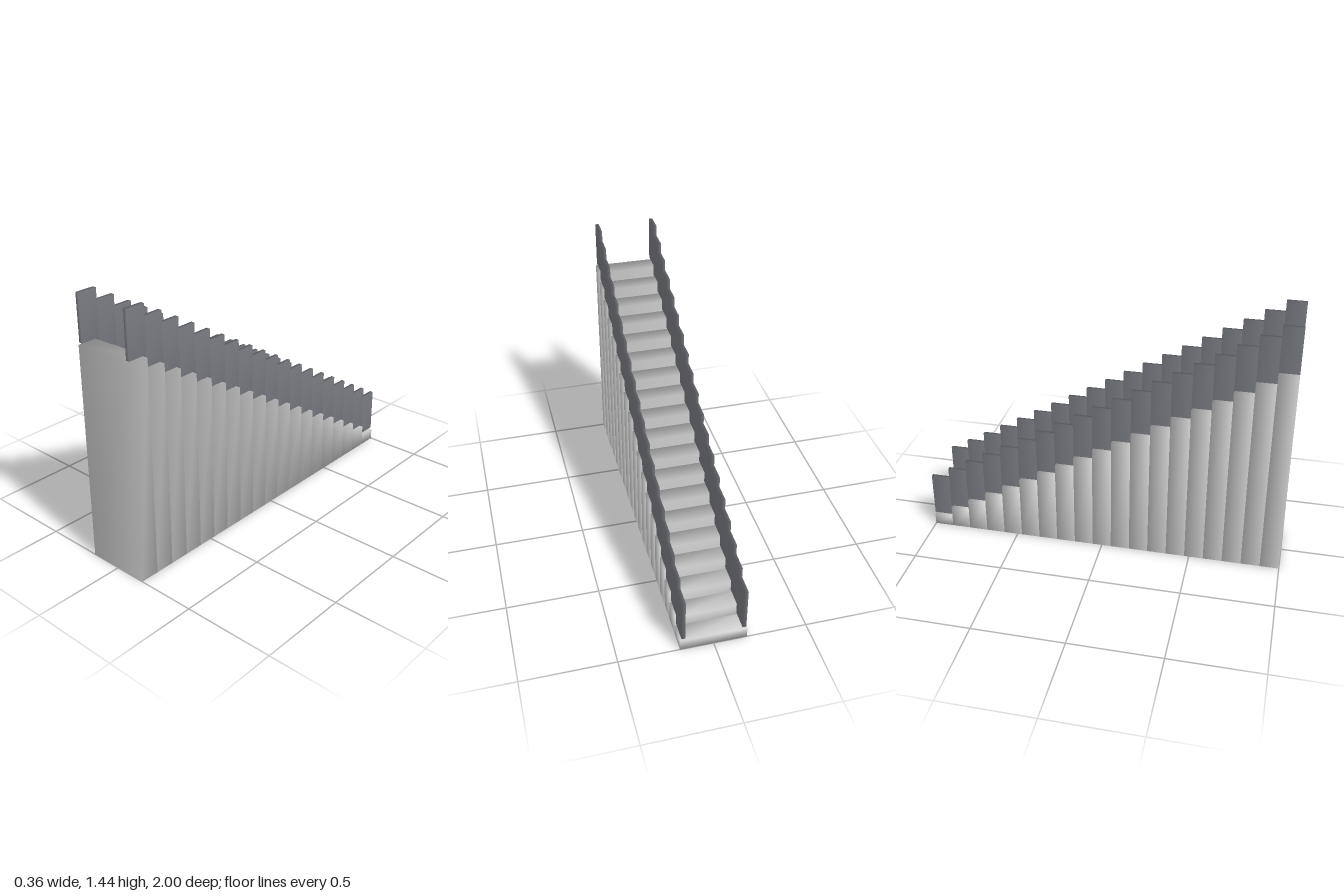
import * as THREE from 'three';
import { mergeVertices } from 'three/addons/utils/BufferGeometryUtils.js';

const STEPS = 19;
const DEPTH = 2 / STEPS;
const RISE = 0.0621;
const WIDTH = 0.356;
const RAIL = { x: 0.161, width: 0.02, height: 0.25, gap: 0.013 };

const stone = new THREE.MeshStandardMaterial({ color: 0xcccccc });
const dark = new THREE.MeshStandardMaterial({ color: 0x777a80 });

// Box with shared corners, so its shading runs smoothly over the edges
function smoothBox(w, h, d) {
  const box = new THREE.BoxGeometry(w, h, d);
  box.deleteAttribute('normal');
  box.deleteAttribute('uv');
  const geometry = mergeVertices(box);
  geometry.computeVertexNormals();
  return geometry;
}

function addBox(parent, name, size, position, material) {
  const mesh = new THREE.Mesh(smoothBox(...size), material);
  mesh.name = name;
  mesh.position.set(...position);
  parent.add(mesh);
}

export function createModel() {
  const model = new THREE.Group();
  model.name = 'staircase';

  for (let i = 0; i < STEPS; i++) {
    const flight = new THREE.Group();
    flight.name = `stepUnit${i + 1}`;
    flight.position.z = -1 + (i + 0.5) * DEPTH;
    model.add(flight);

    // Solid step reaching down to the ground
    const top = (i + 1) * RISE;
    addBox(flight, 'step', [WIDTH, top, DEPTH], [0, top / 2, 0], stone);

    // Thin railing panels floating just above both ends of the tread
    const railY = top + RAIL.gap + RAIL.height / 2;
    for (const side of [1, -1]) {
      addBox(flight, side > 0 ? 'leftRailing' : 'rightRailing',
        [RAIL.width, RAIL.height, DEPTH], [side * RAIL.x, railY, 0], dark);
    }
  }
  return model;
}
